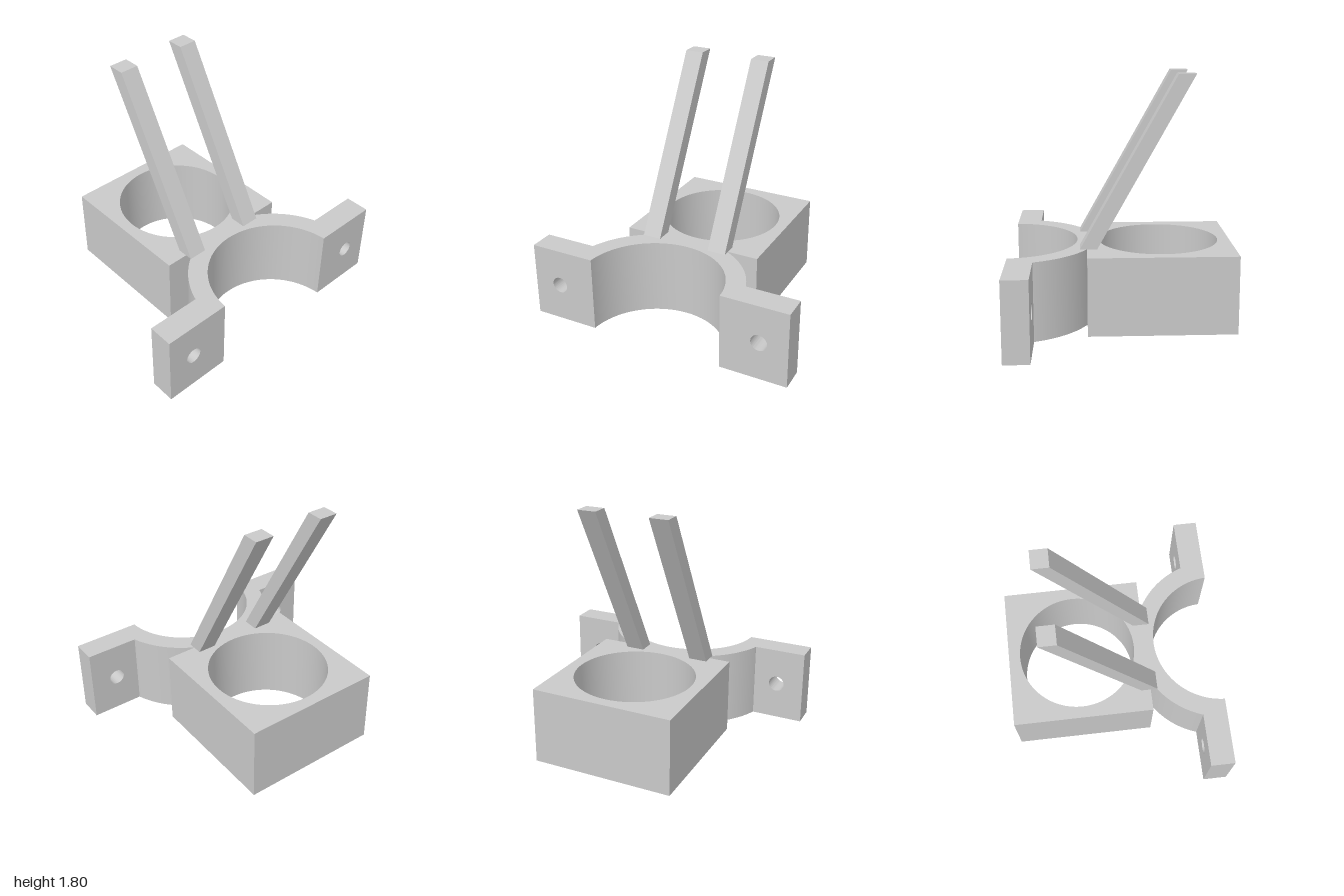
import * as THREE from 'three';
import { toCreasedNormals } from 'three/addons/utils/BufferGeometryUtils.js';

const HEIGHT = 0.565;

// Extrude a shape; smooth on curved walls, sharp on edges
function extrude(shape, depth) {
  const geo = new THREE.ExtrudeGeometry(shape, { depth, bevelEnabled: false, curveSegments: 48 });
  return toCreasedNormals(geo, 0.5);
}

function polygon(points) {
  return new THREE.Shape(points.map(([x, y]) => new THREE.Vector2(x, y)));
}

// Counter-clockwise, so the hole walls face into the opening
function circleHole(x, y, r) {
  return new THREE.Path().absarc(x, y, r, 0, Math.PI * 2, false);
}

export function createModel() {
  const model = new THREE.Group();
  model.name = 'clampHolder';
  const grey = new THREE.MeshStandardMaterial({ color: 0xc9c9c9 });
  grey.name = 'grey';

  function add(name, geo) {
    const mesh = new THREE.Mesh(geo, grey);
    mesh.name = name;
    model.add(mesh);
  }

  // Body: square cup block joined to the half-ring clamp, as one outline seen from above
  const cx = 0.828, outer = 0.643, inner = 0.505;
  const blockX = 0.253, blockZ = 0.528, flangeX = 0.621, endX = 0.803;
  const atBlock = Math.acos((blockX - cx) / outer);
  const atFlange = Math.acos((flangeX - cx) / outer);
  const atEnd = Math.acos((endX - cx) / inner);
  const flangeZ = outer * Math.sin(atFlange);

  const body = new THREE.Shape();
  body.moveTo(-0.803, blockZ);
  body.lineTo(blockX, blockZ);
  body.absarc(cx, 0, outer, atBlock, atFlange, true);
  body.lineTo(endX, flangeZ);
  body.absarc(cx, 0, inner, atEnd, Math.PI * 2 - atEnd, false);
  body.lineTo(endX, -flangeZ);
  body.absarc(cx, 0, outer, -atFlange, -atBlock, true);
  body.lineTo(blockX, -blockZ);
  body.lineTo(-0.803, -blockZ);
  body.closePath();
  body.holes.push(circleHole(-0.275, 0, 0.442));
  add('cupBlockAndClamp', extrude(body, HEIGHT).rotateX(-Math.PI / 2));

  // Flanges with bolt holes, front and back
  for (const [name, s] of [['frontFlange', -1], ['backFlange', 1]]) {
    const flange = polygon([[s * flangeZ, 0], [s, 0], [s, HEIGHT], [s * flangeZ, HEIGHT]]);
    flange.holes.push(circleHole(s * 0.79, HEIGHT / 2 + 0.002, 0.06));
    add(name, extrude(flange, endX - flangeX).rotateY(Math.PI / 2).translate(flangeX, 0, 0));
  }

  // Two slanted bars rising over the cup
  const bar = polygon([[0.182, HEIGHT], [0.305, HEIGHT], [-0.387, 1.802], [-0.51, 1.802]]);
  for (const [name, z] of [['frontBar', 0.23], ['backBar', -0.3]]) {
    add(name, extrude(bar, 0.138).translate(0, 0, z));
  }

  return model;
}
